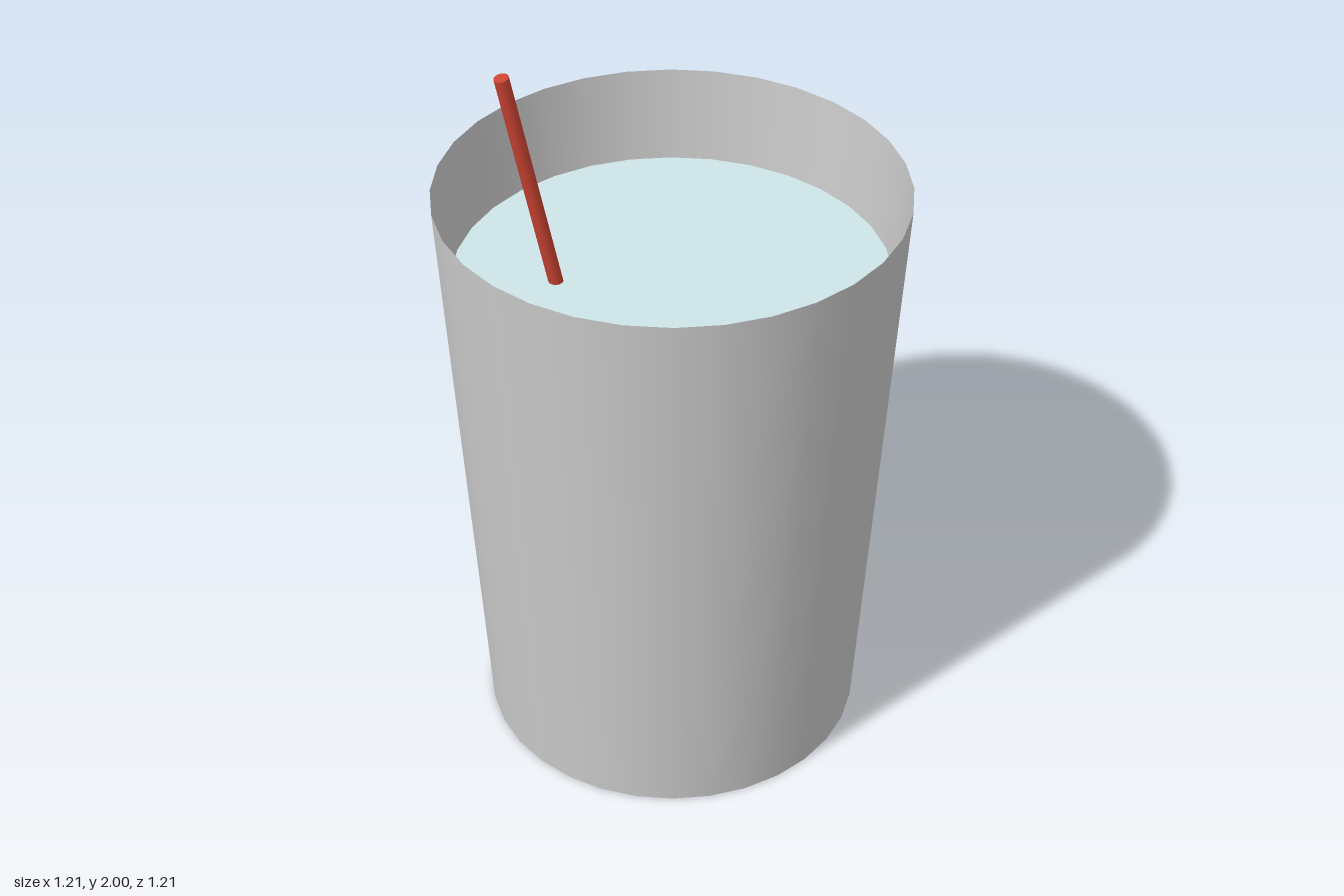
import * as THREE from 'three';

export function createModel() {
  const group = new THREE.Group();
  const add = (name, geometry, color, side = THREE.FrontSide) => {
    const material = new THREE.MeshStandardMaterial({ color, side });
    const mesh = new THREE.Mesh(geometry, material);
    mesh.name = name;
    group.add(mesh);
    return mesh;
  };

  const segments = 32;
  const cupHeight = 1.615, topRadius = 0.605, bottomRadius = 0.51;

  // Thin tapered wall, open at the top
  const wall = add('cupWall',
    new THREE.CylinderGeometry(topRadius, bottomRadius, cupHeight, segments, 1, true),
    0xcccccc, THREE.DoubleSide);
  wall.position.y = cupHeight / 2;

  // Flat base closing the cup
  const base = add('cupBase', new THREE.CircleGeometry(bottomRadius, segments), 0xcccccc, THREE.DoubleSide);
  base.rotation.x = Math.PI / 2;

  // Drink surface, a little below the rim
  const drink = add('drinkSurface', new THREE.CircleGeometry(0.565, segments), 0xcfe5e8, THREE.DoubleSide);
  drink.rotation.x = -Math.PI / 2;
  drink.position.y = 1.365;

  // Straw leaning to one side and running down into the drink
  const strawTop = new THREE.Vector3(-0.4, 1.996, -0.135);
  const tilt = 0.21, strawLength = 1.7;
  const straw = add('straw', new THREE.CylinderGeometry(0.019, 0.019, strawLength, 12), 0xcc4433);
  straw.rotation.z = tilt;
  const axis = new THREE.Vector3(-Math.sin(tilt), Math.cos(tilt), 0);
  straw.position.copy(strawTop).addScaledVector(axis, -strawLength / 2);

  return group;
}
